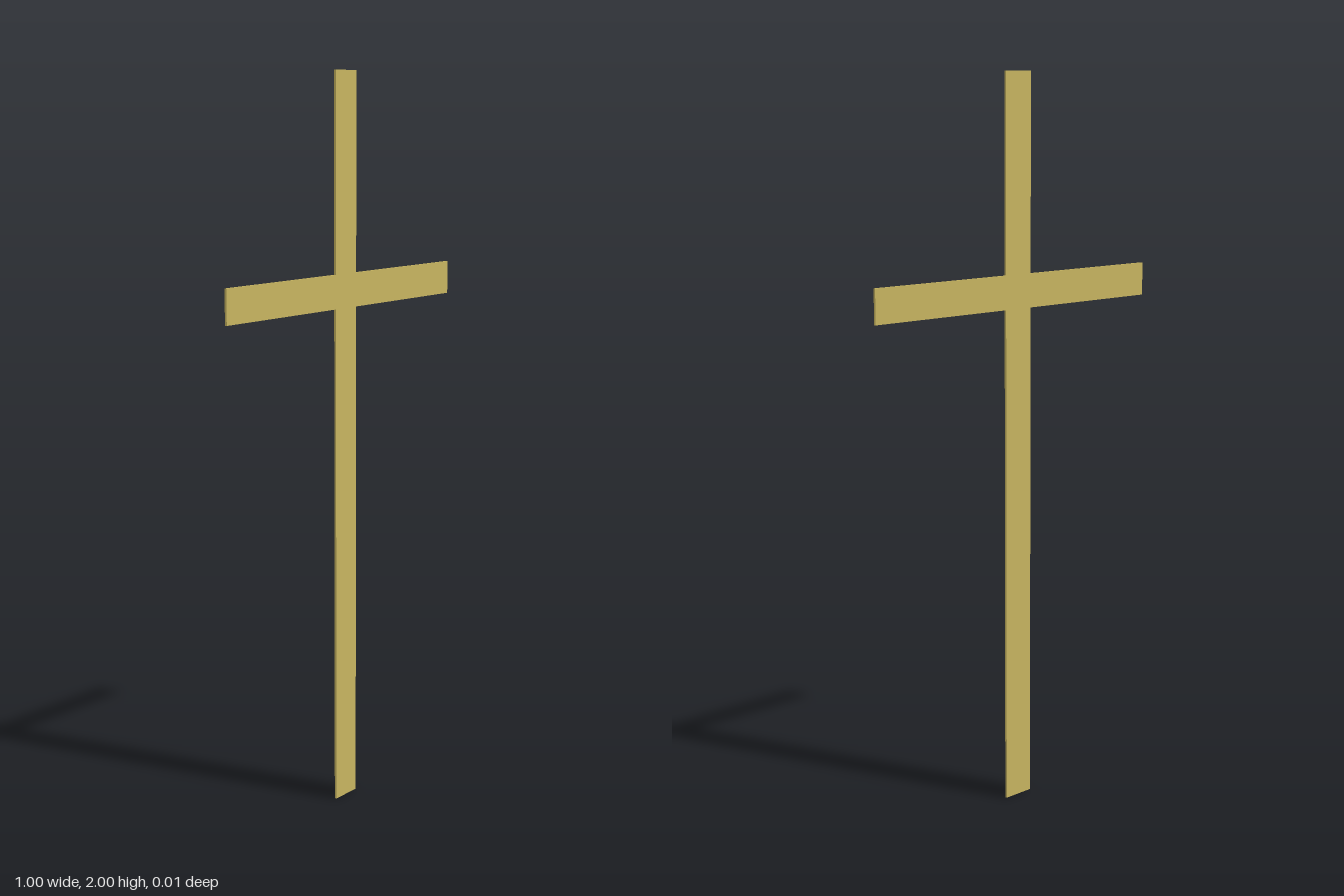
import * as THREE from 'three';

const HALF_BEAM = 0.046; // half width of post and crossbar
const HALF_SPAN = 0.5;
const HEIGHT = 2;
const BAR_BOTTOM = 1.375;
const BAR_TOP = 1.467;
const DEPTH = 0.006;

export function createModel() {
  const group = new THREE.Group();
  group.name = 'cross';

  // Right half of the outline, bottom to top, then mirrored back down
  const half = [
    [HALF_BEAM, 0], [HALF_BEAM, BAR_BOTTOM], [HALF_SPAN, BAR_BOTTOM],
    [HALF_SPAN, BAR_TOP], [HALF_BEAM, BAR_TOP], [HALF_BEAM, HEIGHT],
  ];
  const mirrored = half.map(([x, y]) => [-x, y]).reverse();
  const outline = new THREE.Shape([...half, ...mirrored].map(([x, y]) => new THREE.Vector2(x, y)));

  // Thin flat slab: post and crossbar in one piece
  const geometry = new THREE.ExtrudeGeometry(outline, { depth: DEPTH, bevelEnabled: false });
  geometry.translate(0, 0, -DEPTH / 2);

  const slab = new THREE.Mesh(geometry, new THREE.MeshStandardMaterial({ color: 0xc8b560 }));
  slab.name = 'postAndCrossbar';
  group.add(slab);
  return group;
}
